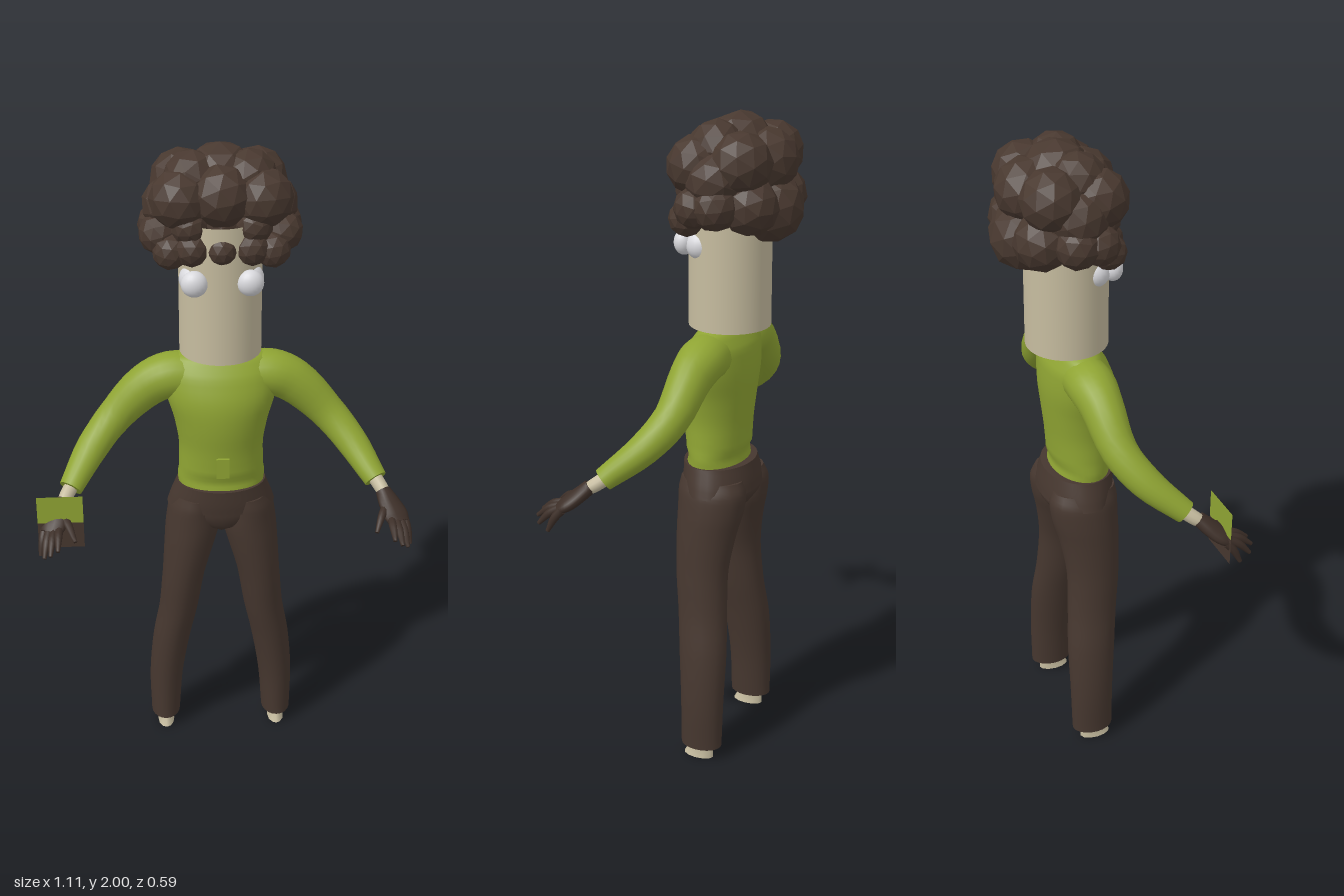
import * as THREE from 'three';

const mat = (name, color, extra = {}) => {
  const m = new THREE.MeshStandardMaterial({ color, ...extra });
  m.name = name;
  return m;
};

// Smooth skin over elliptical rings [x, y, z, halfWidth, halfDepth].
// level: rings stay horizontal (list them bottom to top); otherwise they follow the path.
function loft(rings, { level = false, sides = 20, steps = 4 } = {}) {
  const path = new THREE.CatmullRomCurve3(rings.map(r => new THREE.Vector3(r[0], r[1], r[2])));
  const size = new THREE.CatmullRomCurve3(rings.map(r => new THREE.Vector3(r[3], r[4], 0)));
  const n = (rings.length - 1) * steps;
  const up = new THREE.Vector3(0, 1, 0);
  const pos = [], idx = [];
  for (let i = 0; i <= n; i++) {
    const p = path.getPoint(i / n), s = size.getPoint(i / n);
    const t = level ? up : path.getTangent(i / n);
    const u = level ? new THREE.Vector3(1, 0, 0) : up.clone().cross(t).normalize();
    const v = t.clone().cross(u);
    for (let j = 0; j < sides; j++) {
      const a = (j / sides) * Math.PI * 2;
      const q = p.clone().addScaledVector(u, s.x * Math.cos(a)).addScaledVector(v, s.y * Math.sin(a));
      pos.push(q.x, q.y, q.z);
      if (i < n) {
        const k = (j + 1) % sides, b = i * sides;
        idx.push(b + j, b + k, b + sides + j, b + k, b + sides + k, b + sides + j);
      }
    }
  }
  // Flat end caps with their own vertices
  for (const end of [0, n]) {
    const base = pos.length / 3, c = path.getPoint(end / n);
    pos.push(...pos.slice(end * sides * 3, (end + 1) * sides * 3), c.x, c.y, c.z);
    for (let j = 0; j < sides; j++) {
      const k = (j + 1) % sides;
      idx.push(base + sides, base + (end ? j : k), base + (end ? k : j));
    }
  }
  const g = new THREE.BufferGeometry();
  g.setAttribute('position', new THREE.Float32BufferAttribute(pos, 3));
  g.setIndex(idx);
  g.computeVertexNormals();
  return g;
}

export function createModel() {
  const model = new THREE.Group();
  model.name = 'figure';
  const skin = mat('skin', 0xc6bc9f, { side: THREE.DoubleSide });
  const lime = mat('limeShirt', 0x8fa433);
  const brown = mat('brownTrousers', 0x46372f);
  const hairMat = mat('brownHair', 0x48382f, { flatShading: true });
  const handMat = mat('darkGlove', 0x3d2f28);
  const white = mat('eyeWhite', 0xd9d9dd);
  const limeCard = mat('cardLime', 0x8fa433, { side: THREE.DoubleSide });
  const brownCard = mat('cardBrown', 0x46372f, { side: THREE.DoubleSide });

  const add = (name, geo, material, x = 0, y = 0, z = 0, parent = model) => {
    const m = new THREE.Mesh(geo, material);
    m.name = name;
    m.position.set(x, y, z);
    parent.add(m);
    return m;
  };

  // Hollow head and the neck inside it
  add('head', new THREE.CylinderGeometry(0.122, 0.122, 0.42, 40, 1, true), skin, 0, 1.588, -0.073);
  add('neck', new THREE.CylinderGeometry(0.055, 0.065, 0.1, 20), skin, 0, 1.36, -0.065);

  // Torso
  add('shirtBody', loft([
    [0, 0.93, -0.04, 0.130, 0.092],
    [0, 1.00, -0.04, 0.130, 0.092],
    [0, 1.08, -0.04, 0.128, 0.098],
    [0, 1.17, -0.04, 0.142, 0.108],
    [0, 1.25, -0.045, 0.165, 0.108],
    [0, 1.32, -0.055, 0.170, 0.092],
    [0, 1.365, -0.06, 0.145, 0.065],
    [0, 1.385, -0.062, 0.09, 0.045],
  ], { level: true, sides: 32 }), lime);
  add('shirtTag', new THREE.BoxGeometry(0.04, 0.065, 0.009), lime, 0, 1.04, 0.061);

  // Hips and the waistband that overlaps them
  add('hips', loft([
    [0, 0.785, -0.05, 0.02, 0.05],
    [0, 0.815, -0.05, 0.10, 0.085],
    [0, 0.86, -0.056, 0.160, 0.106],
    [0, 0.91, -0.05, 0.150, 0.106],
    [0, 0.95, -0.045, 0.135, 0.104],
  ], { level: true, sides: 32 }), brown);
  add('waistband', loft([
    [0, 0.868, -0.056, 0.167, 0.110],
    [0, 0.90, -0.052, 0.157, 0.110],
    [0, 0.953, -0.045, 0.137, 0.105],
  ], { level: true, sides: 32 }), brown);

  for (const s of [1, -1]) {
    const side = s > 0 ? 'left' : 'right';
    const flip = rings => rings.map(([x, ...rest]) => [x * s, ...rest]);

    // Trouser leg, listed from the cuff up
    add(side + 'TrouserLeg', loft(flip([
      [0.185, 0.045, -0.069, 0.047, 0.066],
      [0.180, 0.20, -0.069, 0.054, 0.069],
      [0.160, 0.36, -0.062, 0.060, 0.076],
      [0.137, 0.48, -0.050, 0.062, 0.078],
      [0.119, 0.62, -0.040, 0.067, 0.083],
      [0.098, 0.74, -0.045, 0.080, 0.095],
      [0.086, 0.81, -0.053, 0.086, 0.104],
      [0.082, 0.87, -0.056, 0.080, 0.107],
      [0.074, 0.91, -0.052, 0.070, 0.098],
    ]), { level: true }), brown);

    // Ankle stub and small foot
    add(side + 'Foot', loft(flip([
      [0.185, 0.002, -0.06, 0.027, 0.050],
      [0.185, 0.02, -0.065, 0.024, 0.045],
      [0.185, 0.07, -0.075, 0.022, 0.030],
    ]), { level: true, sides: 12 }), skin);

    // Sleeve
    add(side + 'Sleeve', loft(flip([
      [0.08, 1.300, -0.058, 0.070, 0.070],
      [0.15, 1.303, -0.058, 0.072, 0.070],
      [0.22, 1.272, -0.055, 0.063, 0.067],
      [0.32, 1.176, -0.042, 0.053, 0.054],
      [0.39, 1.100, 0.010, 0.049, 0.047],
      [0.457, 1.015, 0.105, 0.036, 0.034],
    ])), lime);

    // Wrist
    add(side + 'Wrist', loft(flip([
      [0.445, 1.03, 0.085, 0.022, 0.022],
      [0.470, 1.00, 0.125, 0.021, 0.021],
      [0.485, 0.98, 0.155, 0.018, 0.016],
    ]), { sides: 12 }), skin);

    // Gloved hand: palm, four fingers and thumb
    const hand = new THREE.Group();
    hand.name = side + 'Hand';
    model.add(hand);
    add('palm', loft(flip([
      [0.475, 0.995, 0.138, 0.023, 0.021],
      [0.490, 0.970, 0.165, 0.034, 0.022],
      [0.507, 0.945, 0.195, 0.040, 0.021],
      [0.517, 0.928, 0.218, 0.033, 0.015],
    ]), { sides: 14 }), handMat, 0, 0, 0, hand);
    const digits = [
      ['indexFinger', [0.492, 0.940, 0.208], [0.495, 0.906, 0.286]],
      ['middleFinger', [0.507, 0.935, 0.213], [0.517, 0.893, 0.291]],
      ['ringFinger', [0.522, 0.932, 0.211], [0.536, 0.878, 0.277]],
      ['littleFinger', [0.535, 0.932, 0.200], [0.549, 0.866, 0.240]],
      ['thumb', [0.482, 0.965, 0.172], [0.444, 0.920, 0.258]],
    ];
    for (const [name, a, b] of digits) {
      const mid = a.map((v, i) => (v + b[i]) / 2 + (i === 1 ? 0.008 : 0));
      add(name, loft(flip([
        [...a, 0.013, 0.013], [...mid, 0.012, 0.012], [...b, 0.006, 0.006],
      ]), { sides: 8 }), handMat, 0, 0, 0, hand);
    }

    // Eye: bulging front ball with a larger one sunk into the side of the head
    const eye = add(side + 'Eye', new THREE.SphereGeometry(0.039, 20, 14), white, 0.08 * s, 1.63, 0.034);
    eye.scale.z = 0.78;
    add(side + 'EyeSocket', new THREE.SphereGeometry(0.044, 20, 14), white, 0.079 * s, 1.625, -0.018);
  }

  // Two-tone card in the right hand
  const card = new THREE.Group();
  card.name = 'card';
  card.position.set(-0.487, 0, 0.203);
  model.add(card);
  add('cardTop', new THREE.PlaneGeometry(0.135, 0.088), limeCard, 0, 0.998, 0, card);
  add('cardBottom', new THREE.PlaneGeometry(0.135, 0.084), brownCard, 0, 0.912, 0, card);

  // Faceted curls [x, y, z, radius]; those off the centre line are mirrored
  const hair = new THREE.Group();
  hair.name = 'hair';
  model.add(hair);
  const curls = [
    [0, 1.895, -0.10, 0.107], [0, 1.872, -0.022, 0.092], [0, 1.727, 0.020, 0.047],
    [0, 1.87, -0.185, 0.095], [0, 1.737, -0.196, 0.102],
    [0.080, 1.905, -0.07, 0.085], [0.118, 1.862, -0.025, 0.088], [0.108, 1.875, -0.155, 0.092],
    [0.140, 1.825, -0.09, 0.085], [0.170, 1.760, -0.105, 0.068], [0.176, 1.755, -0.045, 0.060],
    [0.145, 1.715, -0.005, 0.053], [0.085, 1.727, 0.010, 0.052], [0.092, 1.790, -0.002, 0.054],
    [0.098, 1.755, -0.180, 0.084],
  ];
  curls.forEach(([x, y, z, r], i) => {
    for (const s of x ? [1, -1] : [1]) {
      const curl = add('curl', new THREE.IcosahedronGeometry(r, 1), hairMat, x * s, y, z, hair);
      curl.rotation.set(i * 0.7, i * 1.3 * s, i * 0.4 * s);
    }
  });

  return model;
}
